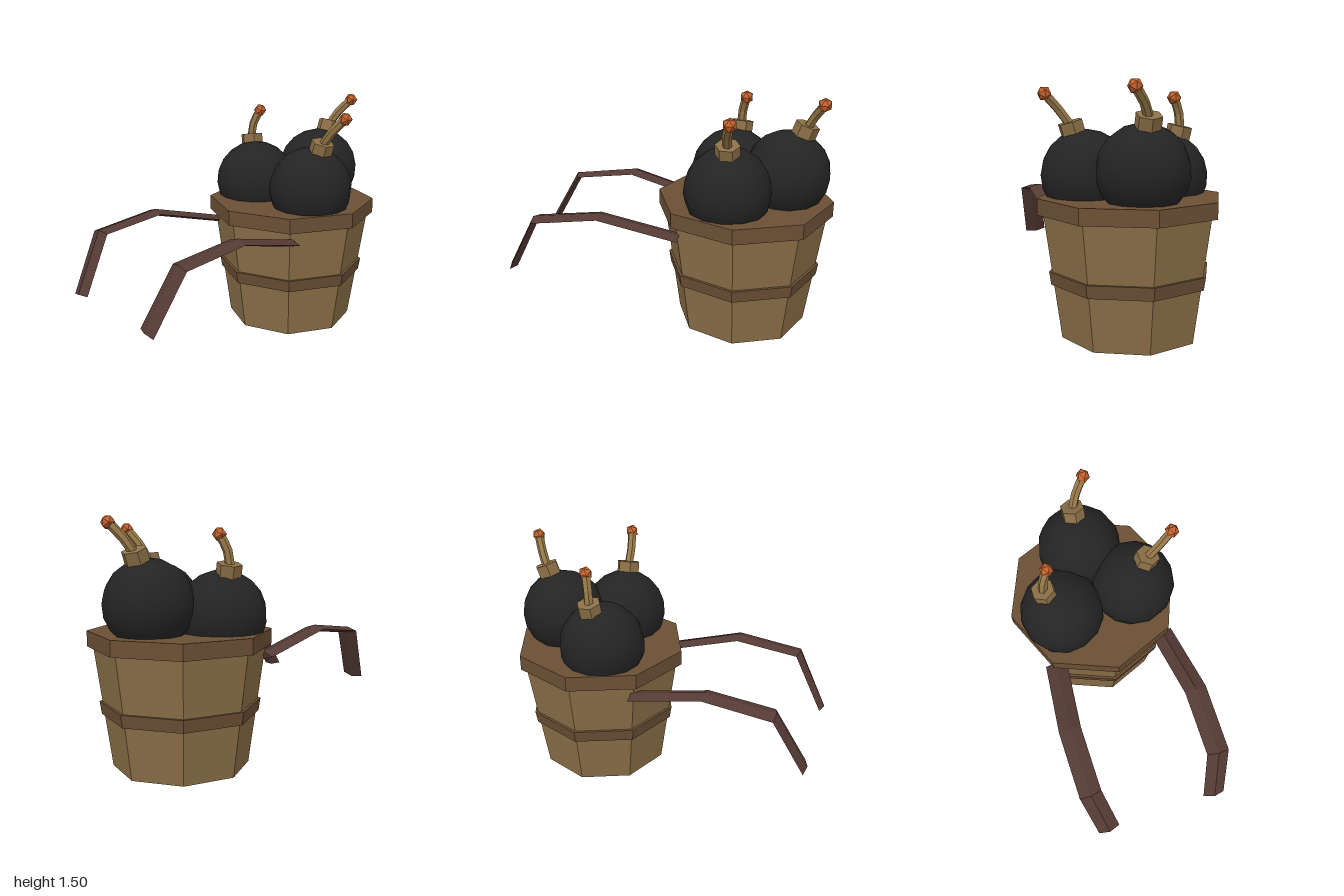
import * as THREE from 'three';

const V = (p) => new THREE.Vector3(...p);
const UP = new THREE.Vector3(0, 1, 0);

// Flat diamond-section strap swept along a bent path
function strapGeometry(path, halfWidth, halfThick) {
  const pts = path.map(V);
  const rings = pts.map((p, i) => {
    const t = new THREE.Vector3();
    if (i > 0) t.add(p.clone().sub(pts[i - 1]).normalize());
    if (i < pts.length - 1) t.add(pts[i + 1].clone().sub(p).normalize());
    t.normalize();
    const n = t.clone().cross(new THREE.Vector3(1, 0, 0)).normalize();
    const s = n.clone().cross(t);
    return [[1, 0], [0, 1], [-1, 0], [0, -1]].map(([a, b]) =>
      p.clone().addScaledVector(s, a * halfWidth).addScaledVector(n, b * halfThick));
  });
  const out = [];
  const quad = (a, b, c, d) => [a, b, c, a, c, d].forEach((v) => out.push(v));
  for (let i = 0; i < rings.length - 1; i++) {
    for (let j = 0; j < 4; j++) {
      const k = (j + 1) % 4;
      quad(rings[i][j], rings[i][k], rings[i + 1][k], rings[i + 1][j]);
    }
  }
  quad(...[...rings[0]].reverse());
  quad(...rings[rings.length - 1]);
  const geo = new THREE.BufferGeometry().setFromPoints(out);
  geo.computeVertexNormals();
  return geo;
}

export function createModel() {
  const mat = (name, color, flat = true) => {
    const m = new THREE.MeshStandardMaterial({ color, flatShading: flat });
    m.name = name;
    return m;
  };
  const wood = mat('wood', 0x8b6f47);
  const band = mat('darkWood', 0x6b4f35);
  const leather = mat('leather', 0x553a34);
  const iron = mat('blackIron', 0x242424, false);
  const rope = mat('rope', 0x967848);
  const ember = mat('ember', 0xc4622d);

  const model = new THREE.Group();
  const add = (parent, name, geo, material, pos = [0, 0, 0]) => {
    const mesh = new THREE.Mesh(geo, material);
    mesh.name = name;
    mesh.position.set(...pos);
    parent.add(mesh);
    return mesh;
  };

  // Octagonal basket with hoop and rim
  const basket = new THREE.Group();
  basket.name = 'basket';
  basket.position.z = -0.45;
  model.add(basket);
  const ring = (name, top, bottom, y0, y1, material) =>
    add(basket, name, new THREE.CylinderGeometry(top, bottom, y1 - y0, 8), material, [0, (y0 + y1) / 2, 0]);
  ring('tub', 0.52, 0.413, 0, 0.76, wood);
  ring('hoop', 0.487, 0.475, 0.323, 0.4, band);
  ring('rim', 0.552, 0.552, 0.735, 0.83, band);

  // Round bombs, each with a tilted cap, a curved fuse and a glowing tip
  const bombs = [
    { name: 'leftBomb', center: [0.25, 0.95, -0.375], cap: [0.333, 1.222, -0.38], tilt: [0.3, 1, -0.02],
      fuse: [[0.335, 1.23, -0.38], [0.41, 1.33, -0.385], [0.495, 1.42, -0.41]] },
    { name: 'rightBomb', center: [-0.235, 0.925, -0.34], cap: [-0.317, 1.19, -0.375], tilt: [-0.2, 1, -0.08],
      fuse: [[-0.325, 1.2, -0.375], [-0.312, 1.31, -0.385], [-0.275, 1.395, -0.41]] },
    { name: 'backBomb', center: [0, 1.0, -0.705], cap: [0, 1.275, -0.8], tilt: [0, 1, -0.36],
      fuse: [[0, 1.28, -0.805], [0.035, 1.37, -0.85], [0.105, 1.462, -0.905]] },
  ];
  for (const b of bombs) {
    const g = new THREE.Group();
    g.name = b.name;
    model.add(g);
    const turn = new THREE.Quaternion().setFromUnitVectors(UP, V(b.tilt).normalize());
    add(g, 'bombShell', new THREE.SphereGeometry(0.267, 14, 10), iron, b.center).quaternion.copy(turn);
    add(g, 'fuseCap', new THREE.CylinderGeometry(0.075, 0.075, 0.08, 6), wood, b.cap).quaternion.copy(turn);
    const curve = new THREE.CatmullRomCurve3(b.fuse.map(V));
    add(g, 'fuse', new THREE.TubeGeometry(curve, 4, 0.028, 6), rope);
    add(g, 'fuseTip', new THREE.IcosahedronGeometry(0.043, 0), ember, b.fuse[2]);
  }

  // Shoulder straps, mirrored
  for (const side of [1, -1]) {
    const path = [[0.365, 0.665, -0.1], [0.415, 0.785, 0.38], [0.415, 0.73, 0.79], [0.36, 0.378, 0.98]]
      .map(([x, y, z]) => [side * x, y, z]);
    add(model, side > 0 ? 'leftStrap' : 'rightStrap', strapGeometry(path, 0.07, 0.022), leather);
  }
  return model;
}
